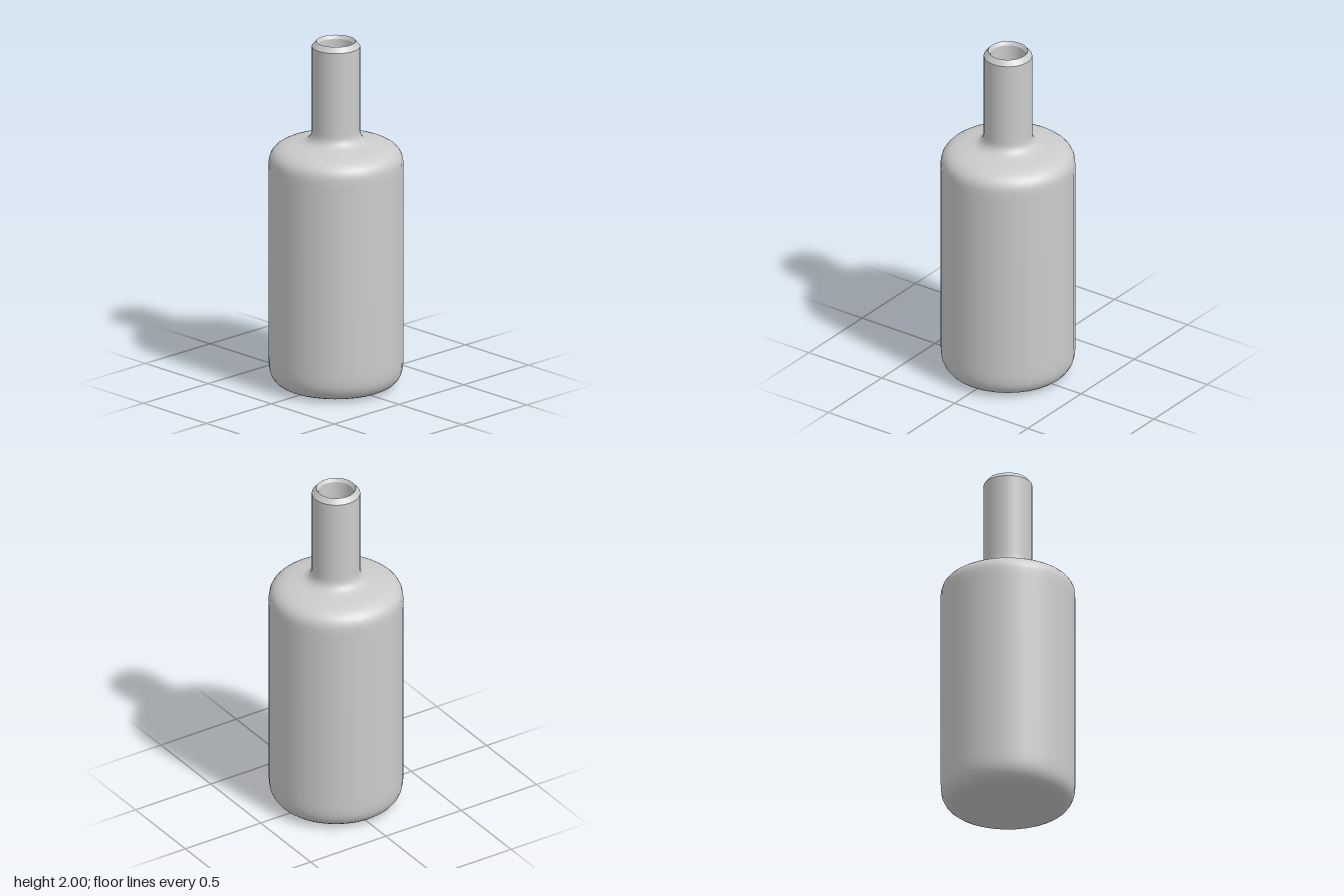
import * as THREE from 'three';

const SIDES = 32;

// Revolves a list of [radius, height] points around the y axis
function lathe(name, points, material) {
  const profile = points.map(([r, y]) => new THREE.Vector2(r, y));
  const mesh = new THREE.Mesh(new THREE.LatheGeometry(profile, SIDES), material);
  mesh.name = name;
  return mesh;
}

// Points along a rounded corner, from a to b around the control point c
function corner(a, c, b, steps = 6) {
  const v = (p) => new THREE.Vector2(...p);
  return new THREE.QuadraticBezierCurve(v(a), v(c), v(b)).getPoints(steps).map((p) => [p.x, p.y]);
}

export function createModel() {
  const bottle = new THREE.Group();
  bottle.name = 'bottle';
  const glass = new THREE.MeshStandardMaterial({ color: 0xcccccc });

  // Outer skin: base, rounded foot, straight wall, shoulder, neck
  bottle.add(lathe('outerShell', [
    [0, 0], [0.22, 0],
    ...corner([0.25, 0.003], [0.372, 0.005], [0.373, 0.13], 8),
    [0.375, 0.18], [0.375, 1.26],
    ...corner([0.373, 1.3], [0.372, 1.385], [0.25, 1.405], 8),
    ...corner([0.21, 1.412], [0.137, 1.42], [0.135, 1.48], 7),
    [0.135, 1.51], [0.135, 1.97],
  ], glass));

  // Rim: bevelled outside and inside
  bottle.add(lathe('rimOuterBevel', [[0.135, 1.97], [0.11, 2]], glass));
  bottle.add(lathe('rimInnerBevel', [[0.11, 2], [0.097, 1.98]], glass));

  // Hollow inside, from the mouth down to the floor
  bottle.add(lathe('innerShell', [
    [0.097, 1.98], [0.097, 1.48],
    ...corner([0.097, 1.45], [0.1, 1.38], [0.2, 1.373]),
    ...corner([0.24, 1.367], [0.337, 1.35], [0.337, 1.27]),
    [0.337, 1.22], [0.337, 0.18],
    ...corner([0.337, 0.14], [0.335, 0.04], [0.23, 0.038]),
    [0.2, 0.038], [0, 0.038],
  ], glass));

  return bottle;
}
